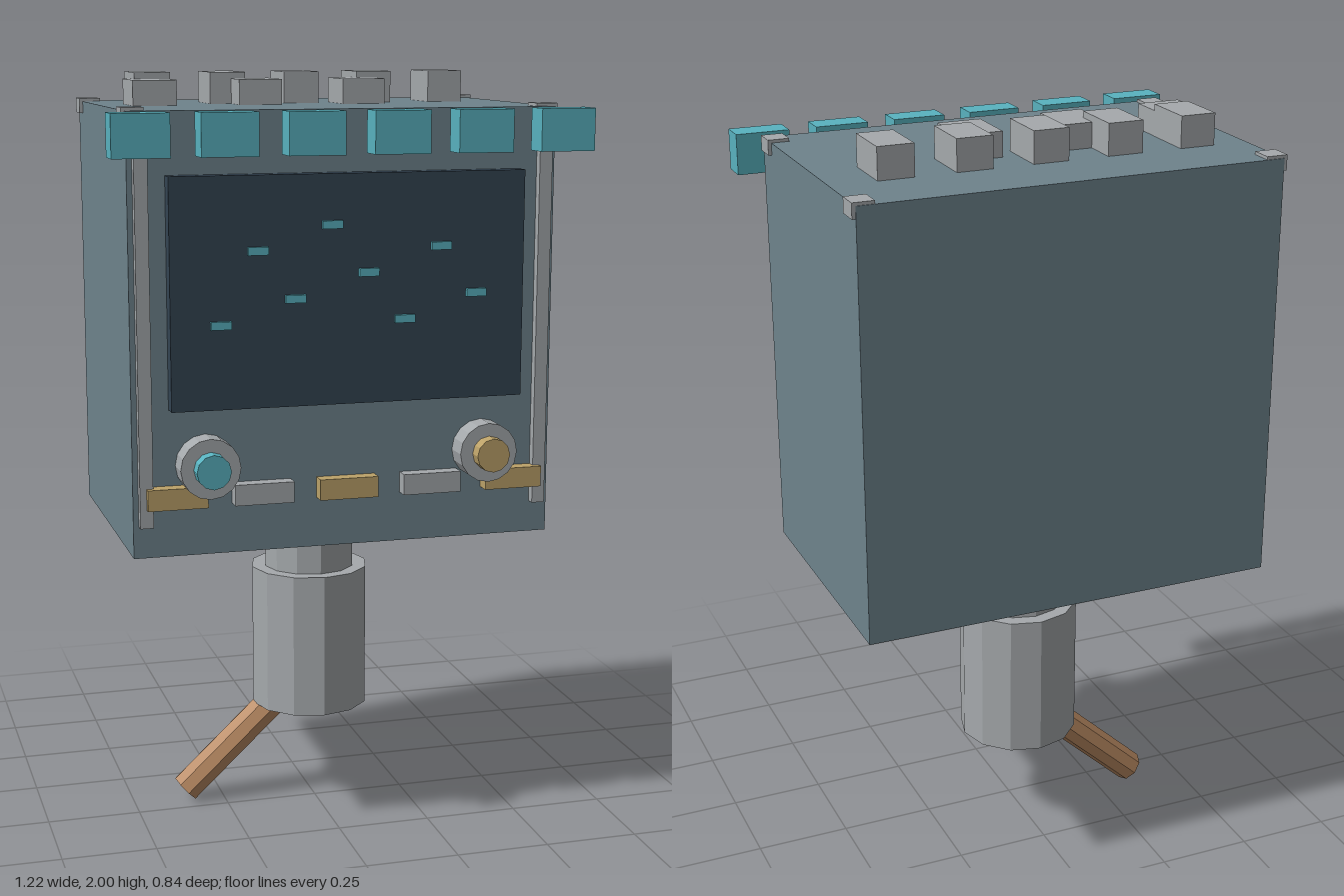
import * as THREE from 'three';

const flat = (name, color) => {
  const m = new THREE.MeshStandardMaterial({ color, flatShading: true });
  m.name = name;
  return m;
};

export function createModel() {
  const steel = flat('slate casing', 0x6e838c);
  const grey = flat('light grey metal', 0xa5a9ac);
  const teal = flat('teal', 0x59b2bf);
  const brass = flat('brass', 0xbca269);
  const dark = flat('dark panel', 0x344452);
  const copper = flat('copper', 0xb98a62);

  const model = new THREE.Group();
  model.name = 'controlBox';

  // Box given by its min and max corners
  const box = (name, mat, [x0, y0, z0], [x1, y1, z1]) => {
    const mesh = new THREE.Mesh(new THREE.BoxGeometry(x1 - x0, y1 - y0, z1 - z0), mat);
    mesh.position.set((x0 + x1) / 2, (y0 + y1) / 2, (z0 + z1) / 2);
    mesh.name = name;
    model.add(mesh);
    return mesh;
  };
  // Cylinder running between two points
  const rod = (name, mat, r, a, b, sides) => {
    const from = new THREE.Vector3(...a), to = new THREE.Vector3(...b);
    const dir = to.clone().sub(from);
    const mesh = new THREE.Mesh(new THREE.CylinderGeometry(r, r, dir.length(), sides), mat);
    mesh.position.copy(from).add(to).multiplyScalar(0.5);
    mesh.quaternion.setFromUnitVectors(new THREE.Vector3(0, 1, 0), dir.normalize());
    mesh.name = name;
    model.add(mesh);
    return mesh;
  };

  // Casing and front panel
  const front = 0.296;
  box('casing', steel, [-0.553, 0.808, -0.42], [0.553, 1.918, front]);
  box('frontPanel', dark, [-0.459, 1.185, front - 0.02], [0.459, 1.763, 0.336]);

  // Small lights scattered over the panel
  [1.397, 1.578, 1.457, 1.638, 1.517, 1.397, 1.578, 1.457].forEach((y, i) => {
    const x = -0.333 + i * 0.0948;
    box('panelLight', teal, [x - 0.026, y - 0.01, 0.33], [x + 0.026, y + 0.01, 0.347]);
  });

  // Side rails and corner caps
  for (const s of [-1, 1]) {
    const x = s * 0.522;
    box('sideRail', grey, [x - 0.017, 0.89, front - 0.015], [x + 0.017, 1.842, 0.319]);
    for (const z of [-0.388, 0.256]) {
      const cx = s * 0.534;
      box('cornerCap', grey, [cx - 0.028, 1.887, z - 0.03], [cx + 0.028, 1.926, z + 0.03]);
    }
  }

  // Row of tabs floating along the upper front edge
  for (let i = 0; i < 6; i++) {
    const x = (i - 2.5) * 0.2155;
    box('frontTab', teal, [x - 0.071, 1.812, 0.349], [x + 0.071, 1.918, 0.42]);
  }

  // Key strips below the panel
  for (let i = 0; i < 5; i++) {
    const x = (i - 2) * 0.2225;
    box('keyStrip', i % 2 ? grey : brass, [x - 0.077, 0.937, front - 0.015], [x + 0.077, 0.991, 0.335]);
  }

  // Knobs with coloured centres
  [[-0.367, teal], [0.365, brass]].forEach(([x, mat]) => {
    rod('knobRing', grey, 0.077, [x, 1.042, front - 0.02], [x, 1.042, 0.363], 16);
    rod('knobCentre', mat, 0.044, [x, 1.042, 0.34], [x, 1.042, 0.401], 12);
  });

  // Blocks on the lid: five behind, three in front
  for (let i = 0; i < 5; i++) {
    const x = -0.413 + i * 0.2;
    box('rearLidBlock', grey, [x - 0.047, 1.9, -0.233], [x + 0.047, 2, -0.086]);
  }
  for (let i = 0; i < 3; i++) {
    const x = -0.424 + i * 0.278;
    box('frontLidBlock', grey, [x - 0.057, 1.9, -0.138], [x + 0.057, 1.983, 0.006]);
  }

  // Stem and bent lead underneath
  const z = -0.062;
  rod('neck', grey, 0.124, [0, 0.64, z], [0, 0.82, z], 12);
  rod('socket', grey, 0.161, [0, 0.27, z], [0, 0.662, z], 12);
  rod('lead', copper, 0.043, [-0.357, 0.034, z], [-0.02, 0.35, z], 8);

  return model;
}
